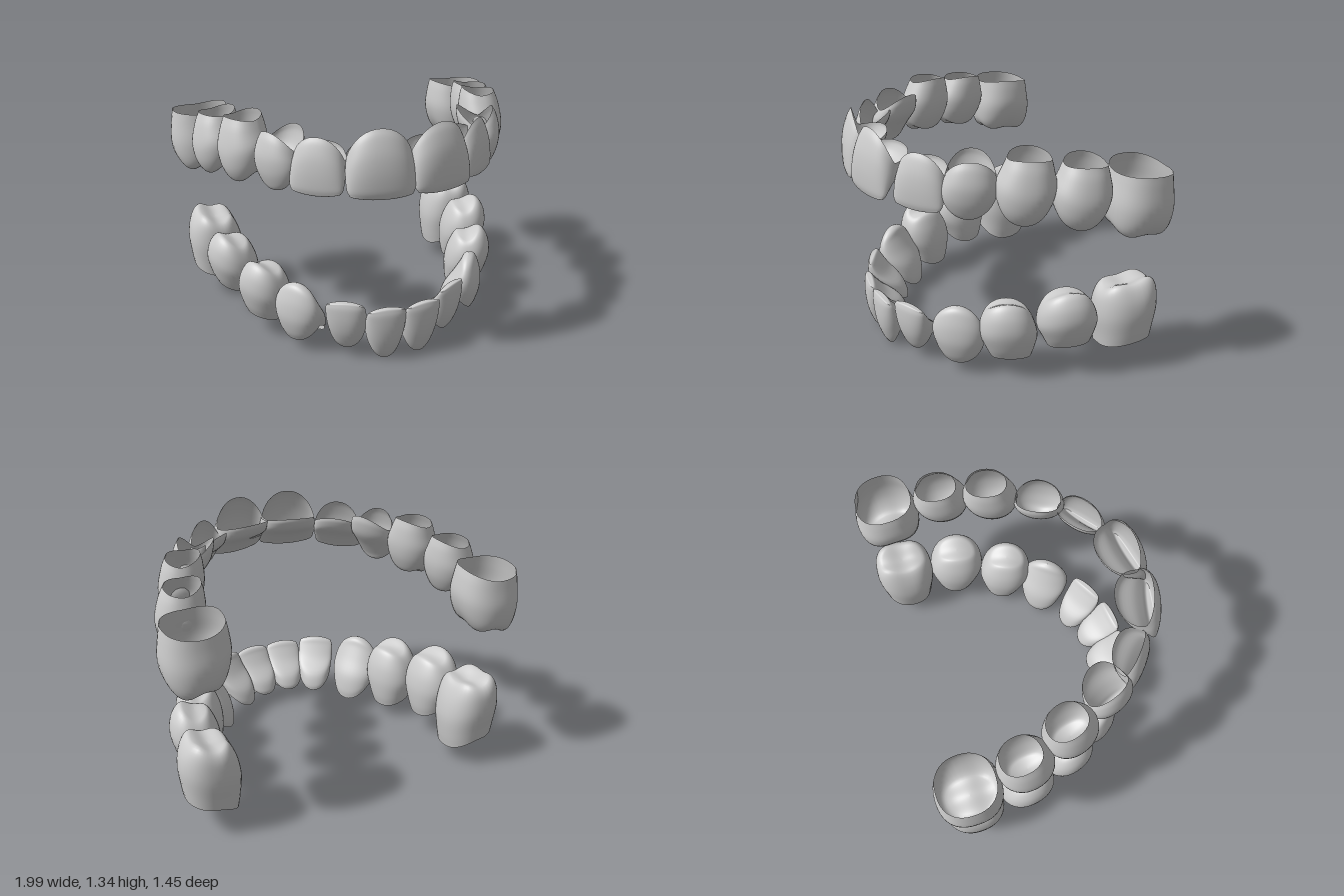
import * as THREE from 'three';

const SEG = 40, ROWS = 28;

// Crown profiles from gum to bite: [height 0..1, width ratio, outer face, inner face, side contact]
// (the last three are fractions of the tooth depth, measured from its centre)
const PROFILES = {
  incisor: [[0, .93, .24, -.5, .06], [.12, .95, .34, -.49, .11], [.35, .99, .45, -.36, .17], [.6, 1, .5, -.03, .24],
    [.85, .98, .5, .2, .31], [.96, .92, .47, .28, .35], [1, .8, .44, .33, .38], [1, 0, .39, .39, .39]],
  canine: [[0, .88, .32, -.5, .02], [.15, .94, .42, -.5, .05], [.4, 1, .5, -.4, .09], [.65, .98, .48, -.17, .15],
    [.85, .86, .4, 0, .19], [.96, .6, .32, .08, .2], [1, 0, .2, .2, .2]],
  premolar: [[0, .73, .3, -.43, -.05], [.2, .85, .41, -.48, -.02], [.5, 1, .5, -.5, 0], [.75, .97, .47, -.45, 0],
    [.92, .84, .37, -.35, 0], [1, .66, .25, -.25, 0], [1, .34, .13, -.13, 0], [1, 0, 0, 0, 0]],
  molar: [[0, .87, .44, -.43, 0], [.2, .92, .47, -.47, 0], [.5, 1, .5, -.5, 0], [.75, .99, .47, -.46, 0],
    [.92, .92, .39, -.38, 0], [1, .75, .28, -.28, 0], [1, .38, .14, -.14, 0], [1, 0, 0, 0, 0]],
};

// Bite surface: point = drop towards the side corners, inner = drop towards the tongue side,
// fossa/groove = valleys between cusps, back = distal shift at the gum, square = outline exponent
const BITE = {
  incisor: { point: .02, inner: 0, fossa: 0, groove: 0, back: 0, square: .92 },
  canine: { point: .08, inner: 0, fossa: 0, groove: 0, back: .01, square: .95 },
  premolar: { point: .065, inner: .07, fossa: .012, groove: 0, back: .03, square: .92 },
  molar: { point: .01, inner: .055, fossa: .02, groove: .015, back: .005, square: .86 },
};

// name, type, x, z, outward angle, width, depth, gum heights [outer, side, inner], bite height, slope
const UPPER = [
  ['CentralIncisor', 'incisor', .15, .588, 12, .35, .25, [1.34, 1.19, 1.22], .99, 0],
  ['LateralIncisor', 'incisor', .412, .455, 38, .29, .19, [1.28, 1.16, 1.22], .985, 0],
  ['Canine', 'canine', .56, .275, 65, .28, .24, [1.27, 1.18, 1.27], .955, 0],
  ['FirstPremolar', 'premolar', .698, .043, 72, .3, .25, [1.285, 1.27, 1.3], .94, -.05],
  ['SecondPremolar', 'premolar', .788, -.222, 80, .3, .26, [1.24, 1.23, 1.26], .905, -.06],
  ['Molar', 'molar', .82, -.545, 90, .35, .35, [1.18, 1.17, 1.2], .83, -.07],
];
const LOWER = [
  ['CentralIncisor', 'incisor', .094, .526, 8, .22, .24, [0, .15, .08], .325, 0],
  ['LateralIncisor', 'incisor', .272, .452, 29, .22, .23, [.06, .17, .07], .355, 0],
  ['Canine', 'canine', .48, .298, 54, .29, .24, [.07, .16, .04], .41, 0],
  ['FirstPremolar', 'premolar', .63, .09, 68, .31, .27, [.13, .11, .07], .46, 0],
  ['SecondPremolar', 'premolar', .745, -.2, 78, .325, .28, [.2, .18, .13], .52, .05],
  ['Molar', 'molar', .78, -.54, 88, .345, .32, [.19, .16, .09], .54, .09],
];

const roundPow = (v, e) => Math.sign(v) * Math.pow(Math.abs(v), e);
const sq = (v) => v * v;

// One hollow crown: loops run from the open gum rim to the closed biting surface
function toothGeometry([, type, cx, cz, angle, w, d, gum, bite, slope], gumDir, side) {
  const rows = PROFILES[type], b = BITE[type];
  const curve = new THREE.CubicInterpolant(rows.map((_, i) => i), rows.flat(), 5);
  const a = THREE.MathUtils.degToRad(angle), ca = Math.cos(a), sa = Math.sin(a);
  const pos = [], index = [];
  for (let k = 0; k <= ROWS; k++) {
    const [t0, wr, outer, inner, mid] = curve.evaluate((k / ROWS) * (rows.length - 1));
    const t = Math.min(1, Math.max(0, t0));
    for (let i = 0; i < SEG; i++) {
      const th = (i / SEG) * Math.PI * 2, s = Math.sin(th);
      const u = (w / 2) * wr * roundPow(Math.cos(th), b.square);
      const v = d * (mid + ((s > 0 ? outer : inner) - mid) * Math.pow(Math.abs(s), b.square));
      // scalloped gum line and cusped bite surface
      const rim = gum[1] + ((s > 0 ? gum[0] : gum[2]) - gum[1]) * Math.pow(Math.abs(s), 1.35);
      const drop = b.point * sq((2 * u) / w) + b.inner * (.25 - v / d)
        + b.fossa * sq(Math.cos((Math.PI * v) / (.5 * d)))
        + b.groove * sq(Math.cos((Math.PI * u) / (.55 * w)));
      const y = rim + (bite + gumDir * drop - rim) * t + slope * u;
      const ub = u + b.back * (1 - t);
      pos.push(side * (cx + ub * ca + v * sa), y, cz - ub * sa + v * ca);
      if (k === ROWS) continue;
      const p = k * SEG + i, q = k * SEG + ((i + 1) % SEG);
      if (gumDir * side > 0) index.push(p, q, p + SEG, q, q + SEG, p + SEG);
      else index.push(p, p + SEG, q, q, p + SEG, q + SEG);
    }
  }
  const g = new THREE.BufferGeometry();
  g.setAttribute('position', new THREE.Float32BufferAttribute(pos, 3));
  g.setIndex(index);
  g.computeVertexNormals();
  return g;
}

export function createModel() {
  const model = new THREE.Group();
  model.name = 'teeth';
  const material = new THREE.MeshStandardMaterial({ color: 0xcccccc, side: THREE.DoubleSide });
  for (const [arch, teeth, gumDir] of [['upper', UPPER, 1], ['lower', LOWER, -1]]) {
    const row = new THREE.Group();
    row.name = arch + 'Arch';
    for (const tooth of teeth) {
      for (const side of [1, -1]) {
        const mesh = new THREE.Mesh(toothGeometry(tooth, gumDir, side), material);
        mesh.name = arch + (side > 0 ? 'Left' : 'Right') + tooth[0];
        row.add(mesh);
      }
    }
    model.add(row);
  }
  return model;
}
